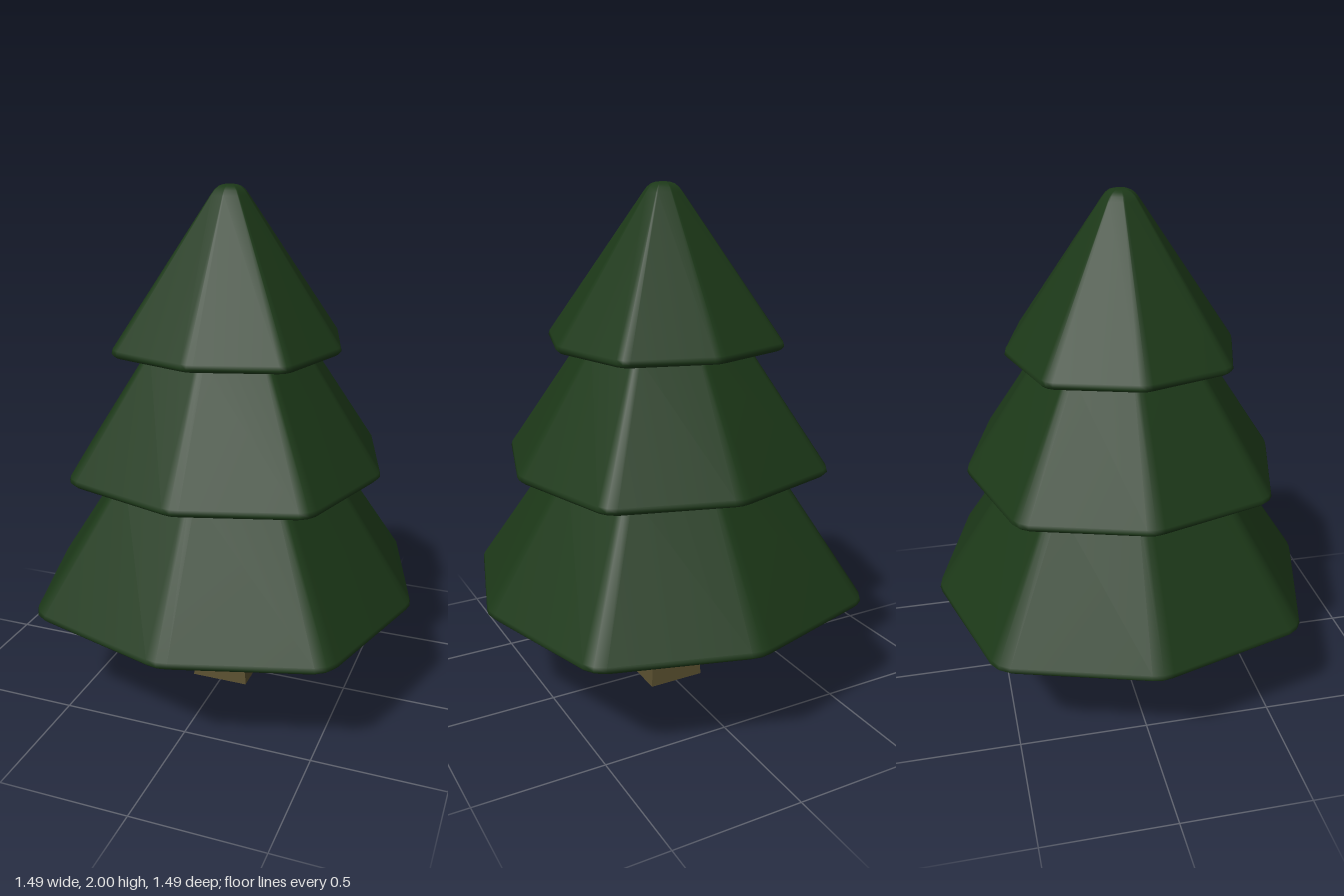
import * as THREE from 'three';

// One quadrant of the soft-cornered octagonal outline, as [x, z] for radius 0.747
const QUADRANT = [[-0.04, 0.74], [0, 0.747], [0.04, 0.74], [0.53, 0.593], [0.568, 0.568], [0.593, 0.53]];

function octagonOutline() {
  const points = [];
  let quarter = QUADRANT.map(([x, z]) => [x / 0.747, z / 0.747]);
  for (let q = 0; q < 4; q++) {
    points.push(...quarter);
    quarter = quarter.map(([x, z]) => [z, -x]);
  }
  return points;
}

// Sweep the outline along a profile of [radius, y], from the underside to the tip
function sweepProfile(profile) {
  const outline = octagonOutline();
  const n = outline.length;
  const positions = [];
  const indices = [];
  profile.forEach(([r, y], j) => {
    outline.forEach(([x, z], i) => {
      positions.push(x * r, y, z * r);
      if (j === profile.length - 1) return;
      const a = j * n + i;
      const b = j * n + (i + 1) % n;
      indices.push(a, b, a + n, b, b + n, a + n);
    });
  });
  const geometry = new THREE.BufferGeometry();
  geometry.setAttribute('position', new THREE.Float32BufferAttribute(positions, 3));
  geometry.setIndex(indices);
  geometry.computeVertexNormals();
  return geometry;
}

// Hollowed underside and rounded lip shared by every tier
function skirt(radius, y, hollow) {
  return [
    [0, y + hollow],
    [radius * 0.3, y + hollow * 0.97],
    [radius * 0.6, y + hollow * 0.75],
    [radius - 0.045, y + 0.005],
    [radius - 0.03, y],
    [radius - 0.012, y + 0.002],
    [radius, y + 0.014],
    [radius - 0.004, y + 0.03],
  ];
}

export function createModel() {
  const tree = new THREE.Group();
  tree.name = 'pineTree';
  const leaf = new THREE.MeshStandardMaterial({ color: 0x1c3818 });
  const bark = new THREE.MeshStandardMaterial({ color: 0x5a5030, flatShading: true });

  // Square tapered trunk
  const trunkHeight = 0.64;
  const trunkGeometry = new THREE.CylinderGeometry(0.075 * Math.SQRT2, 0.115 * Math.SQRT2, trunkHeight, 4);
  trunkGeometry.rotateY(Math.PI / 4);
  const trunk = new THREE.Mesh(trunkGeometry, bark);
  trunk.name = 'trunk';
  trunk.position.set(-0.003, trunkHeight / 2, 0);
  tree.add(trunk);

  // Three stacked foliage tiers, the lower two closing inside the tier above
  const tiers = [
    ['lowerFoliage', [...skirt(0.747, 0.417, 0.18), [0.42, 0.94], [0.28, 1.15], [0, 1.17]]],
    ['middleFoliage', [...skirt(0.603, 0.933, 0.17), [0.31, 1.405], [0.2, 1.57], [0, 1.59]]],
    ['topFoliage', [...skirt(0.435, 1.402, 0.15), [0.07, 1.965], [0.057, 1.982], [0.042, 1.994], [0.025, 2], [0, 2]]],
  ];
  for (const [name, profile] of tiers) {
    const tier = new THREE.Mesh(sweepProfile(profile), leaf);
    tier.name = name;
    tree.add(tier);
  }
  return tree;
}
